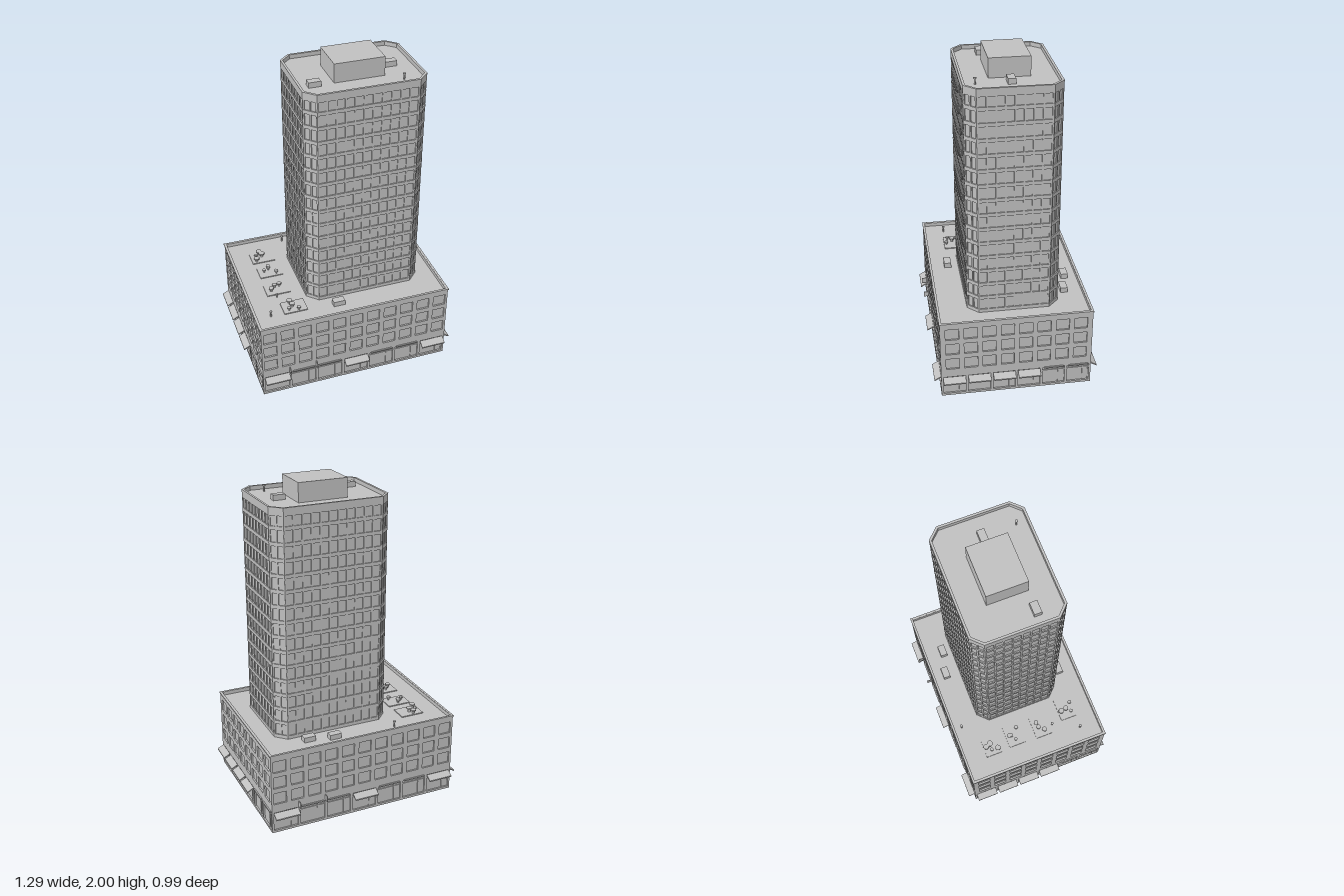
import * as THREE from 'three';

const concrete = new THREE.MeshStandardMaterial({ color: 0xc0c0c0 });
concrete.name = 'concrete grey';

const HX = 0.605, HZ = 0.457, PODIUM_TOP = 0.52, DECK = 0.497, WALL = 0.012;
const TOWER_TOP = 1.91, TOWER_DECK = 1.885;

function add(parent, name, geometry, x = 0, y = 0, z = 0) {
  const mesh = new THREE.Mesh(geometry, concrete);
  mesh.name = name;
  mesh.position.set(x, y, z);
  parent.add(mesh);
  return mesh;
}

function box(parent, name, w, h, d, x, y, z) {
  return add(parent, name, new THREE.BoxGeometry(w, h, d), x, y, z);
}

function rectPath(target, x0, y0, x1, y1) {
  target.moveTo(x0, y0);
  target.lineTo(x1, y0);
  target.lineTo(x1, y1);
  target.lineTo(x0, y1);
  target.closePath();
  return target;
}

// Sloping canopy: a thin wedge cross-section swept along the wall
function awning(parent, x, width) {
  const s = new THREE.Shape();
  s.moveTo(0, 0.135);
  s.lineTo(0.04, 0.113);
  s.lineTo(0.04, 0.105);
  s.lineTo(0, 0.127);
  s.closePath();
  const g = new THREE.ExtrudeGeometry(s, { depth: width, bevelEnabled: false });
  g.rotateY(-Math.PI / 2);
  g.translate(width / 2, 0, 0);
  add(parent, 'awning', g, x, 0, 0);
}

// One podium wall; local x runs along it and local z points outwards
function podiumWall(root, name, length, angle, distance, columns, bays, awnings, signs) {
  const wall = new THREE.Group();
  wall.name = name;
  wall.rotation.y = angle;
  wall.position.set(Math.sin(angle) * distance, 0, Math.cos(angle) * distance);
  root.add(wall);

  const shape = rectPath(new THREE.Shape(), -length / 2, 0, length / 2, PODIUM_TOP);
  const cut = (x, w, y0, y1) => {
    shape.holes.push(rectPath(new THREE.Path(), x - w / 2, y0, x + w / 2, y1));
    box(wall, 'windowPane', w + 0.008, y1 - y0 + 0.008, 0.008, x, (y0 + y1) / 2, -WALL - 0.002);
  };

  // Three rows of square windows
  for (let i = 0; i < columns; i++) {
    const x = (i - (columns - 1) / 2) * 0.11;
    for (const y of [0.193, 0.299, 0.404]) cut(x, 0.08, y, y + 0.074);
  }

  // Shop fronts, with an awning or a slim lintel over each
  const pitch = (2 * (length / 2 - 0.004)) / bays, bayWidth = pitch - 0.016;
  for (let i = 0; i < bays; i++) {
    const x = (i - (bays - 1) / 2) * pitch;
    cut(x, bayWidth, 0.015, 0.136);
    box(wall, 'doorMullion', 0.005, 0.12, 0.006, x + bayWidth * 0.22, 0.075, -0.007);
    box(wall, 'transom', bayWidth, 0.005, 0.006, x, 0.112, -0.007);
    if (awnings.includes(i)) awning(wall, x, bayWidth);
    else box(wall, 'lintel', bayWidth - 0.015, 0.008, 0.012, x, 0.139, 0.002);
  }
  add(wall, 'wall', new THREE.ExtrudeGeometry(shape, { depth: WALL, bevelEnabled: false }), 0, 0, -WALL);

  // Floor ledges on the inside face
  for (const y of [0.165, 0.283, 0.387]) box(wall, 'innerLedge', length - 0.03, 0.012, 0.014, 0, y, -WALL - 0.007);
  // Blade signs
  for (const x of signs) box(wall, 'bladeSign', 0.005, 0.035, 0.032, x, 0.162, 0.017);
}

// Octagonal tower plan, inset from the outer face
function towerPlan(inset, Type = THREE.Shape) {
  const x0 = -0.245 + inset, x1 = 0.487 - inset, z0 = -0.277 + inset, z1 = 0.274 - inset;
  const c = 0.064 - inset * 0.586;
  const pts = [[x0 + c, z1], [x1 - c, z1], [x1, z1 - c], [x1, z0 + c],
    [x1 - c, z0], [x0 + c, z0], [x0, z0 + c], [x0, z1 - c]].map(([x, z]) => new THREE.Vector2(x, -z));
  return new Type(pts);
}

function prism(shape, y0, y1) {
  const g = new THREE.ExtrudeGeometry(shape, { depth: y1 - y0, bevelEnabled: false });
  g.rotateX(-Math.PI / 2);
  g.translate(0, y0, 0);
  return g;
}

function buildTower(root) {
  const tower = new THREE.Group();
  tower.name = 'tower';
  root.add(tower);
  add(tower, 'towerCore', prism(towerPlan(0.007), DECK - 0.005, TOWER_DECK));
  const rim = towerPlan(0);
  rim.holes.push(towerPlan(0.014, THREE.Path));
  add(tower, 'towerParapet', prism(rim, TOWER_DECK - 0.015, TOWER_TOP));

  // Grid of floor bands and mullions on all eight sides
  const floors = 15, base = 0.51, step = (TOWER_DECK - base) / floors;
  const pts = towerPlan(0).getPoints().slice(0, 8);
  pts.forEach((a, i) => {
    const b = pts[(i + 1) % 8];
    const dx = b.x - a.x, dz = a.y - b.y, length = Math.hypot(dx, dz);
    const side = new THREE.Group();
    side.name = 'towerFacade';
    side.position.set((a.x + b.x) / 2, 0, -(a.y + b.y) / 2);
    side.rotation.y = Math.atan2(-dz, dx);
    tower.add(side);
    const columns = length < 0.2 ? 2 : Math.round(length / 0.055);
    for (let f = 0; f <= floors; f++) {
      box(side, 'floorBand', length, 0.022, 0.009, 0, base + f * step - (f === floors ? 0.011 : 0), -0.0045);
    }
    for (let c = 0; c <= columns; c++) {
      const x = (c / columns - 0.5) * (length - 0.01);
      box(side, 'mullion', 0.01, TOWER_DECK - base, 0.008, x, (TOWER_DECK + base) / 2, -0.005);
    }
  });

  // Plant room on top
  box(tower, 'plantRoom', 0.302, 2 - TOWER_DECK, 0.239, 0.12, (2 + TOWER_DECK) / 2, -0.003);
}

function rooftop(root) {
  const vent = (x, z, deck) => box(root, 'airUnit', 0.073, 0.032, 0.044, x, deck + 0.016, z);
  for (const [x, z] of [[0.161, -0.368], [0.314, -0.334], [-0.078, 0.341]]) vent(x, z, DECK);
  for (const [x, z] of [[0.345, 0.001], [-0.147, 0.11]]) vent(x, z, TOWER_DECK);

  // Vent posts with caps
  for (const [x, z, y] of [[-0.504, 0.324, DECK], [-0.226, -0.398, DECK], [0.354, 0.199, TOWER_DECK]]) {
    add(root, 'ventPost', new THREE.CylinderGeometry(0.005, 0.005, 0.036, 8), x, y + 0.018, z);
    add(root, 'ventCap', new THREE.CylinderGeometry(0.009, 0.009, 0.006, 8), x, y + 0.037, z);
  }

  // Terrace decks
  for (const [x, z] of [[-0.4, -0.26], [-0.393, -0.1], [-0.4, 0.085], [-0.347, 0.282]]) {
    box(root, 'terraceDeck', 0.148, 0.006, 0.108, x, DECK + 0.003, z);
  }
  // Round tables and stools: x, z, radius
  const seats = [
    [-0.413, -0.297, 0.018], [-0.401, -0.268, 0.02], [-0.44, -0.268, 0.011], [-0.444, -0.227, 0.018],
    [-0.396, -0.13, 0.014], [-0.399, -0.116, 0.012], [-0.431, -0.099, 0.011], [-0.358, -0.068, 0.013],
    [-0.41, 0.068, 0.014], [-0.378, 0.064, 0.015], [-0.438, 0.099, 0.016], [-0.42, 0.161, 0.009],
    [-0.365, 0.248, 0.018], [-0.358, 0.282, 0.017], [-0.385, 0.31, 0.011], [-0.326, 0.321, 0.012],
  ];
  for (const [x, z, r] of seats) {
    const h = 0.016 + r * 0.7;
    add(root, 'tableLeg', new THREE.CylinderGeometry(r * 0.4, r * 0.5, h, 8), x, DECK + h / 2, z);
    add(root, 'tableTop', new THREE.CylinderGeometry(r, r, 0.008, 8), x, DECK + h, z);
  }
}

export function createModel() {
  const root = new THREE.Group();
  root.name = 'officeTower';

  // Hollow podium, open underneath
  const q = Math.PI / 2;
  podiumWall(root, 'frontWall', HX * 2, 0, HZ, 11, 7, [0, 3, 6], [-0.435, -0.263]);
  podiumWall(root, 'backWall', HX * 2, 2 * q, HZ, 11, 7, [0, 3, 6], [-0.435, -0.263]);
  podiumWall(root, 'leftWall', HZ * 2, q, HX, 8, 6, [0, 1, 2, 3], []);
  podiumWall(root, 'rightWall', HZ * 2, -q, HX, 8, 6, [0, 1, 2, 3], []);
  box(root, 'podiumRoof', HX * 2 - 0.01, 0.012, HZ * 2 - 0.01, 0, DECK - 0.006, 0);

  // Coping around the podium parapet
  const coping = rectPath(new THREE.Shape(), -HX - 0.005, -HZ - 0.003, HX + 0.005, HZ + 0.003);
  coping.holes.push(rectPath(new THREE.Path(), -HX + 0.008, -HZ + 0.01, HX - 0.008, HZ - 0.01));
  add(root, 'podiumCoping', prism(coping, PODIUM_TOP - 0.006, PODIUM_TOP + 0.001));

  buildTower(root);
  rooftop(root);
  return root;
}
